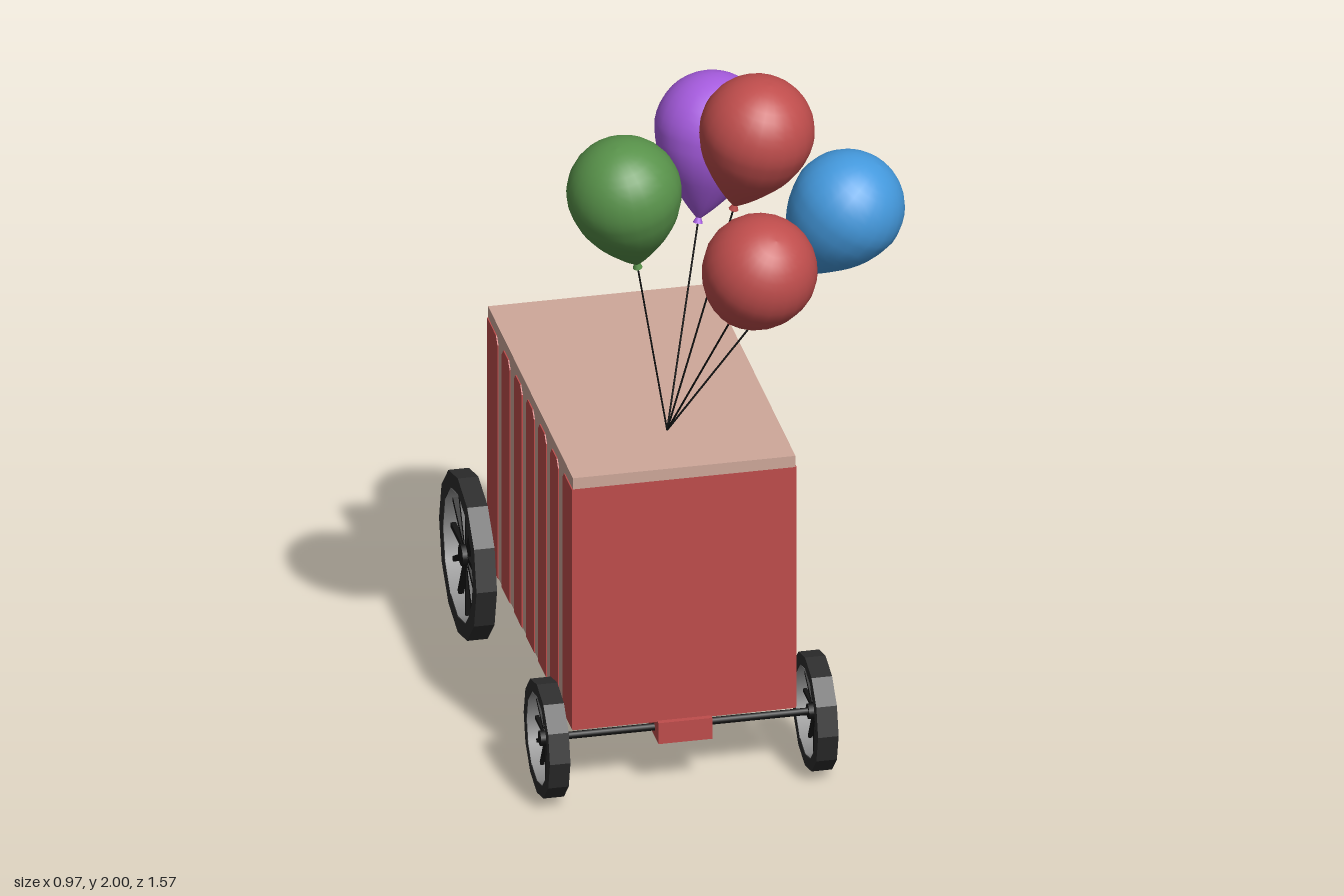
import * as THREE from 'three';

const mat = (name, color, side = THREE.FrontSide) => {
  const m = new THREE.MeshStandardMaterial({ color, side });
  m.name = name;
  return m;
};

export function createModel() {
  const red = mat('red', 0xbf4d4c);
  const cream = mat('cream', 0xcfa89a);
  const tyre = mat('tyre', 0x2d2d2d);
  const black = mat('black', 0x141414);
  const grey = mat('grey', 0x858585, THREE.DoubleSide);
  const blue = mat('blue', 0x4499dd);
  const green = mat('green', 0x58924a);
  const purple = mat('purple', 0xa75ce0);

  const model = new THREE.Group();
  model.name = 'balloonCart';

  const add = (parent, name, geo, material, x = 0, y = 0, z = 0) => {
    const m = new THREE.Mesh(geo, material);
    m.name = name;
    m.position.set(x, y, z);
    parent.add(m);
    return m;
  };
  const box = (w, h, d) => new THREE.BoxGeometry(w, h, d);

  // Cart body: cream sides and floor, red ends, cream lid
  const CX = -0.111, W = 0.585, BOTTOM = 0.19, SHOULDER = 0.88, TOP = 0.912;
  const H = SHOULDER - BOTTOM;
  add(model, 'body', box(W, H, 1), [cream, cream, cream, cream, red, red], CX, BOTTOM + H / 2, -0.1);
  add(model, 'lid', box(W, TOP - SHOULDER, 1), cream, CX, (TOP + SHOULDER) / 2, -0.1);

  // Red bands with clipped tops on both sides, continued under the floor
  const PITCH = 1 / 7, GAP = 0.05, T = 0.003;
  for (let i = 0; i < 7; i++) {
    const z0 = i === 0 ? 0.4 : 0.4 - i * PITCH - GAP / 2 + 0.006;
    const z1 = i === 6 ? -0.6 : 0.4 - (i + 1) * PITCH + GAP / 2 + 0.006;
    const c0 = i === 0 ? 0 : 0.018, c1 = i === 6 ? 0 : 0.018;
    const s = new THREE.Shape([
      [-z0, BOTTOM], [-z1, BOTTOM], [-z1, SHOULDER - (c1 ? 0.02 : 0)], [-z1 - c1, SHOULDER],
      [-z0 + c0, SHOULDER], [-z0, SHOULDER - (c0 ? 0.02 : 0)],
    ].map(([a, b]) => new THREE.Vector2(a, b)));
    const geo = new THREE.ExtrudeGeometry(s, { depth: T, bevelEnabled: false }).rotateY(Math.PI / 2);
    add(model, 'sideBandLeft', geo, red, CX + W / 2);
    add(model, 'sideBandRight', geo, red, CX - W / 2 - T);
    add(model, 'floorBand', box(W, T, z0 - z1), red, CX, BOTTOM - T / 2, (z0 + z1) / 2);
  }

  // Front axle bracket
  add(model, 'axleBracket', box(0.142, 0.06, 0.12), red, CX, 0.16, 0.355);

  // Twelve-sided spoked wheel, axis along x
  const polygon = (Path, r) => {
    const pts = [];
    for (let i = 0; i < 12; i++) {
      const a = i * Math.PI / 6;
      pts.push(new THREE.Vector2(r * Math.cos(a), r * Math.sin(a)));
    }
    return new Path(pts);
  };
  const makeWheel = (name, R, inner, spokeWidth) => {
    const g = new THREE.Group();
    g.name = name;
    const rim = polygon(THREE.Shape, R);
    rim.holes.push(polygon(THREE.Path, inner));
    const rimGeo = new THREE.ExtrudeGeometry(rim, { depth: 0.054, bevelEnabled: false });
    add(g, 'rim', rimGeo.translate(0, 0, -0.027).rotateY(Math.PI / 2), tyre);
    const liner = new THREE.CylinderGeometry(inner - 0.002, inner - 0.002, 0.052, 12, 1, true);
    add(g, 'rimLining', liner.rotateZ(Math.PI / 2), grey);
    add(g, 'hub', new THREE.CylinderGeometry(R * 0.13, R * 0.13, 0.04, 12).rotateZ(Math.PI / 2), black);
    for (let i = 0; i < 12; i++) {
      const spoke = box(spokeWidth, inner, spokeWidth).translate(0, inner / 2, 0);
      add(g, 'spoke', spoke, black).rotation.x = i * Math.PI / 6;
    }
    return g;
  };
  for (const [name, R, inner, z, sw] of [
    ['rearWheel', 0.221, 0.177, -0.567, 0.014],
    ['frontWheel', 0.155, 0.123, 0.364, 0.01],
  ]) {
    for (const side of [-1, 1]) {
      const w = makeWheel(name, R, inner, sw);
      w.position.set(CX + side * 0.3525, R, z);
      model.add(w);
    }
    const axle = new THREE.CylinderGeometry(0.01, 0.01, 0.7, 8).rotateZ(Math.PI / 2);
    add(model, name === 'rearWheel' ? 'rearAxle' : 'frontAxle', axle, black, CX, R, z);
  }

  // Balloon profile: round top, tapering to a small flared knot
  const profile = [];
  for (let i = 0; i <= 10; i++) {
    const a = -Math.PI / 2 + i * Math.PI / 20;
    profile.push(new THREE.Vector2(0.149 * Math.cos(a), -0.149 * Math.sin(a)));
  }
  profile[0].x = 0;
  const taper = new THREE.SplineCurve([
    [0.149, 0], [0.139, -0.055], [0.114, -0.11], [0.079, -0.16], [0.04, -0.207], [0.008, -0.24],
  ].map(([x, y]) => new THREE.Vector2(x, y)));
  profile.push(...taper.getPoints(12).slice(1));
  const balloonGeo = new THREE.LatheGeometry(profile.reverse(), 24);
  const knotGeo = new THREE.CylinderGeometry(0.005, 0.013, 0.018, 10);

  // Balloons lean outward along their strings from one anchor on the lid
  const anchor = new THREE.Vector3(-0.108, TOP, 0.185);
  const up = new THREE.Vector3(0, 1, 0);
  for (const [material, x, y, z] of [
    [red, 0.083, 1.851, 0.387],
    [red, 0.036, 1.575, 0.63],
    [green, -0.257, 1.692, 0.347],
    [blue, 0.333, 1.577, 0.328],
    [purple, 0.041, 1.697, 0.046],
  ]) {
    const dir = new THREE.Vector3(x, y, z).sub(anchor);
    const len = dir.length();
    const g = new THREE.Group();
    g.name = 'balloonOnString';
    g.position.copy(anchor);
    g.quaternion.setFromUnitVectors(up, dir.normalize());
    add(g, 'balloon', balloonGeo, material, 0, len);
    add(g, 'knot', knotGeo, material, 0, len - 0.246);
    add(g, 'string', new THREE.CylinderGeometry(0.0025, 0.0025, len - 0.25, 6), black, 0, (len - 0.25) / 2);
    model.add(g);
  }
  return model;
}
